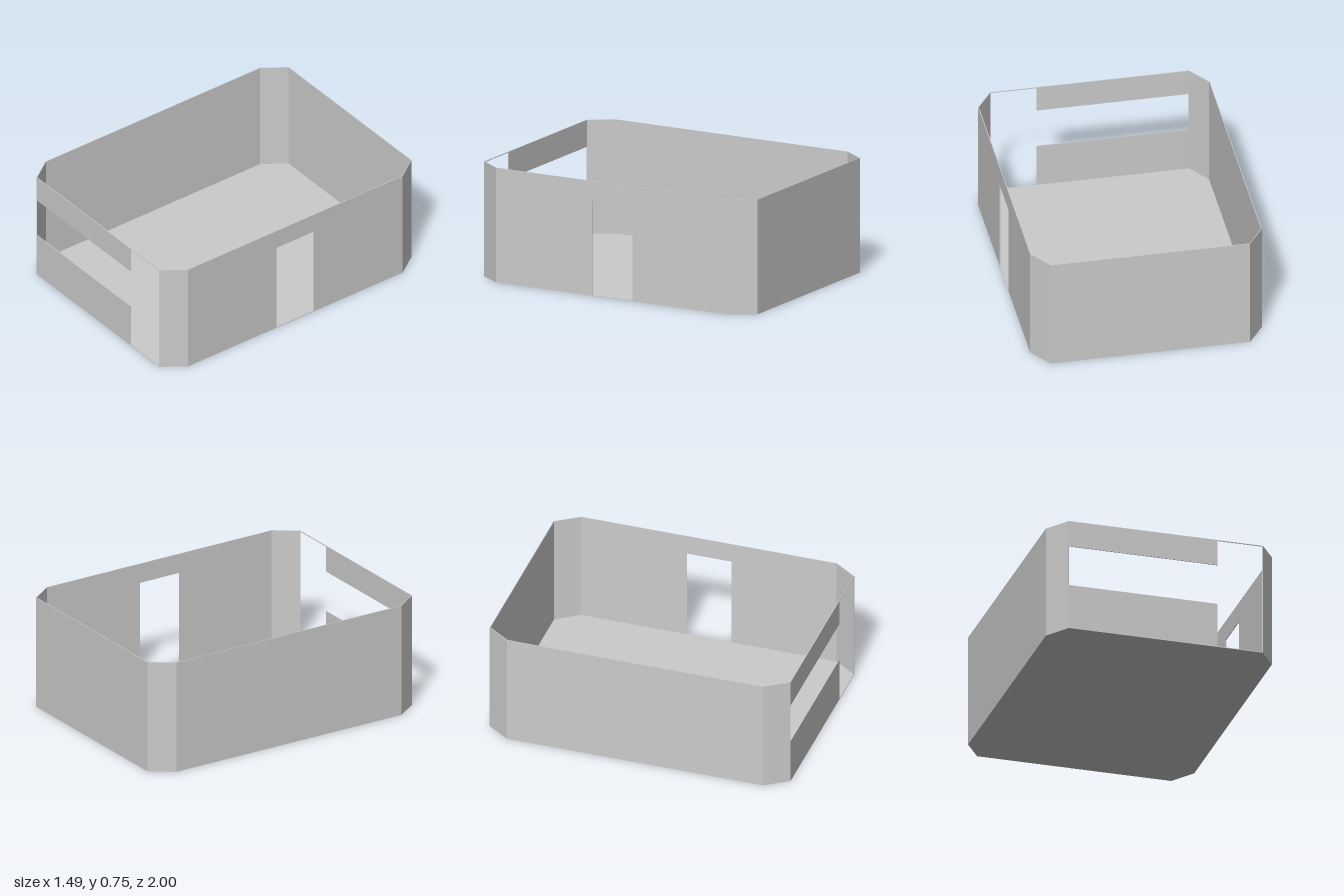
import * as THREE from 'three';

const H = 0.745;  // overall height
const T = 0.005;  // sheet thickness of floor and walls
const X = 0.745, Z = 1, CX = 0.64, CZ = 0.85; // half sizes and where the corners are cut

const material = new THREE.MeshStandardMaterial({ color: 0xcccccc, flatShading: true });

const polygon = (points) => new THREE.Shape(points.map(([x, y]) => new THREE.Vector2(x, y)));
const rect = (x0, y0, x1, y1) => polygon([[x0, y0], [x1, y0], [x1, y1], [x0, y1]]);
const sheet = (shapes) => new THREE.ExtrudeGeometry(shapes, { depth: T, bevelEnabled: false });

export function createModel() {
  const model = new THREE.Group();
  model.name = 'room';

  // Outline on the ground as [x, z], starting at the front wall's -x end
  const outline = [
    [-CX, Z], [CX, Z], [X, CZ], [X, -CZ],
    [CX, -Z], [-CX, -Z], [-X, -CZ], [-X, CZ],
  ];

  // Floor
  const floor = new THREE.Mesh(sheet(polygon(outline.map(([x, z]) => [x, -z]))), material);
  floor.name = 'floor';
  floor.rotation.x = -Math.PI / 2;
  model.add(floor);

  // Walls with openings, drawn from outside: distance along the wall, height
  const frontLength = 2 * CX, sideLength = 2 * CZ;
  const openWalls = {
    // parapet, and a header that runs on as a thin lintel over the tall entrance
    frontWall: [
      rect(0, T, 0.98, 0.3),
      polygon([[0, 0.57], [0.98, 0.57], [0.98, 0.74], [frontLength, 0.74], [frontLength, H], [0, H]]),
    ],
    // wall with a doorway
    leftWall: [polygon([
      [0, T], [0.7, T], [0.7, 0.615], [0.995, 0.615], [0.995, T],
      [sideLength, T], [sideLength, H], [0, H],
    ])],
  };

  const names = [
    'frontWall', 'frontLeftCorner', 'leftWall', 'backLeftCorner',
    'backWall', 'backRightCorner', 'rightWall', 'frontRightCorner',
  ];
  names.forEach((name, i) => {
    const [ax, az] = outline[i];
    const [bx, bz] = outline[(i + 1) % outline.length];
    const dx = bx - ax, dz = bz - az;
    const shapes = openWalls[name] ?? rect(0, T, Math.hypot(dx, dz), H);
    const wall = new THREE.Mesh(sheet(shapes).translate(0, 0, -T), material);
    wall.name = name;
    wall.position.set(ax, 0, az);
    wall.rotation.y = Math.atan2(-dz, dx);
    model.add(wall);
  });

  return model;
}
